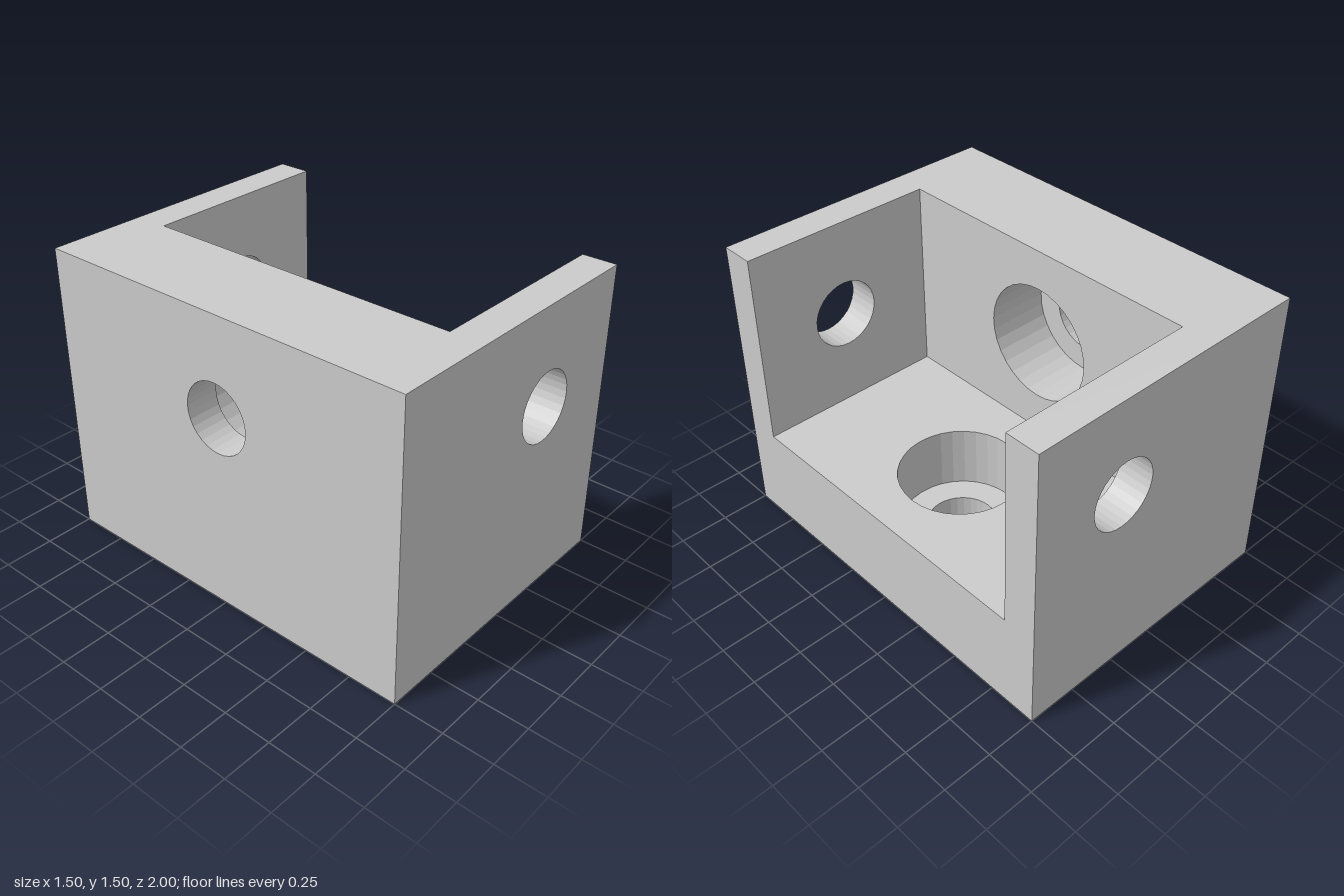
import * as THREE from 'three';

const HALF_X = 0.75, HALF_Z = 1, HEIGHT = 1.5;
const WALL = 0.172;           // thickness of side walls and of the bore ledges
const THICK = 0.5;            // thickness of floor and end wall
const BORE = 0.175, COUNTERBORE = 0.302;

// Rectangular plate with one round hole, extruded from depth d0 to d1
function plate(u0, u1, v0, v1, hu, hv, radius, d0, d1) {
  const shape = new THREE.Shape();
  shape.moveTo(u0, v0).lineTo(u1, v0).lineTo(u1, v1).lineTo(u0, v1).closePath();
  const hole = new THREE.Path();
  hole.absarc(hu, hv, radius, 0, Math.PI * 2, true);
  shape.holes.push(hole);
  return new THREE.ExtrudeGeometry(shape, { depth: d1 - d0, bevelEnabled: false, curveSegments: 16 })
    .translate(0, 0, d0);
}

export function createModel() {
  const group = new THREE.Group();
  group.name = 'cornerBracket';
  const material = new THREE.MeshStandardMaterial({ color: 0xcccccc, flatShading: true });
  const add = (name, geometry) => {
    const mesh = new THREE.Mesh(geometry, material);
    mesh.name = name;
    group.add(mesh);
  };

  // Floor: narrow bore below, wide counterbore above
  const floorLayer = (r, d0, d1) =>
    plate(-HALF_X, HALF_X, -HALF_Z, HALF_Z, 0.25, 0, r, d0, d1).rotateX(-Math.PI / 2);
  add('floorLedge', floorLayer(BORE, 0, WALL));
  add('floorCounterbore', floorLayer(COUNTERBORE, WALL, THICK));

  // Thick end wall: narrow bore outside, wide counterbore inside
  const endLayer = (r, d0, d1) =>
    plate(-HALF_Z, HALF_Z, THICK, HEIGHT, 0, 1, r, d0, d1).rotateY(Math.PI / 2);
  add('endWallLedge', endLayer(BORE, -HALF_X, -HALF_X + WALL));
  add('endWallCounterbore', endLayer(COUNTERBORE, -HALF_X + WALL, -HALF_X + THICK));

  // Thin side walls with plain holes
  for (const [name, z] of [['frontWall', HALF_Z - WALL], ['rearWall', -HALF_Z]]) {
    add(name, plate(-HALF_X + THICK, HALF_X, THICK, HEIGHT, 0.25, 1, BORE, z, z + WALL));
  }
  return group;
}
